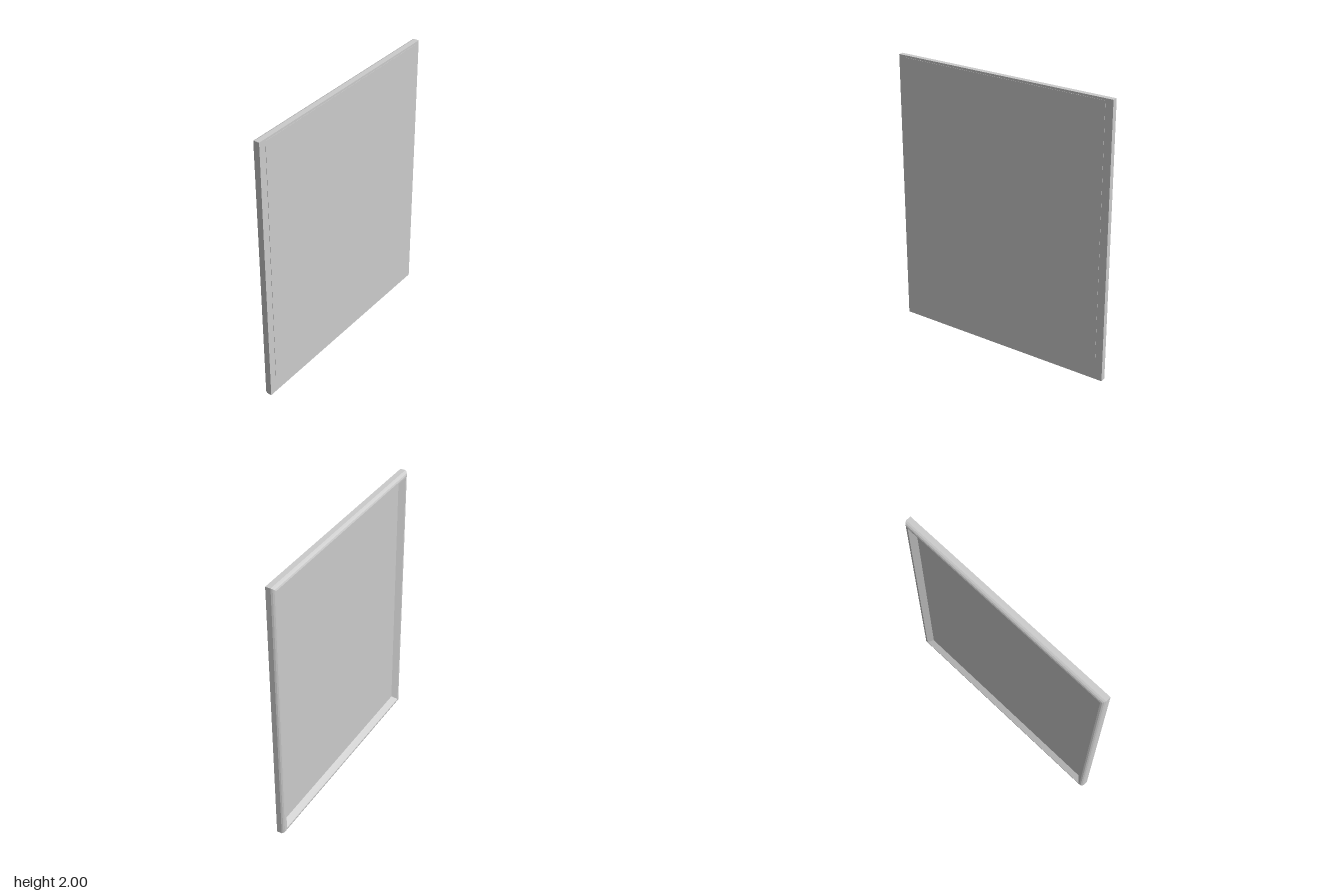
import * as THREE from 'three';

const H = 1, W = 0.835; // half height (y) and half width (z)
const material = new THREE.MeshStandardMaterial({ color: 0xcccccc, flatShading: true });

// Sweeps a closed [inset, x] profile around the rectangle with mitred corners
function mitredFrame(profile) {
  const corners = [[1, 1], [-1, 1], [-1, -1], [1, -1]];
  const n = profile.length, pos = [], index = [];
  for (const [sy, sz] of corners)
    for (const [inset, x] of profile) pos.push(x, H + sy * (H - inset), sz * (W - inset));
  for (let j = 0; j < 4; j++)
    for (let k = 0; k < n; k++) {
      const a = j * n + k, b = j * n + (k + 1) % n;
      const c = ((j + 1) % 4) * n + k, d = ((j + 1) % 4) * n + (k + 1) % n;
      index.push(a, b, c, b, d, c);
    }
  const g = new THREE.BufferGeometry();
  g.setAttribute('position', new THREE.Float32BufferAttribute(pos, 3));
  g.setIndex(index);
  const flat = g.toNonIndexed();
  flat.computeVertexNormals();
  return flat;
}

// Upright sheet between two x, y and z limits
function sheet(x0, x1, y0, y1, halfZ) {
  const g = new THREE.BoxGeometry(x1 - x0, y1 - y0, halfZ * 2);
  return g.translate((x0 + x1) / 2, (y0 + y1) / 2, 0);
}

export function createModel() {
  const group = new THREE.Group();
  const add = (name, geometry) => {
    const mesh = new THREE.Mesh(geometry, material);
    mesh.name = name;
    group.add(mesh);
  };

  // Moulding: straight side, rounded front edge, bevel down to the picture
  add('frameMoulding', mitredFrame([
    [0, 0.029], [0, -0.008], [0.005, -0.019], [0.013, -0.027], [0.024, -0.031],
    [0.034, -0.031], [0.07, 0.005], [0.07, 0.029],
  ]));

  // Picture board filling the opening
  add('pictureBoard', sheet(0.005, 0.029, 0.07, 2 * H - 0.07, W - 0.07));

  // Thin backing sheet, slightly proud of the back
  add('backingSheet', sheet(0.028, 0.031, 0.12, 1.985, 0.78));

  return group;
}
